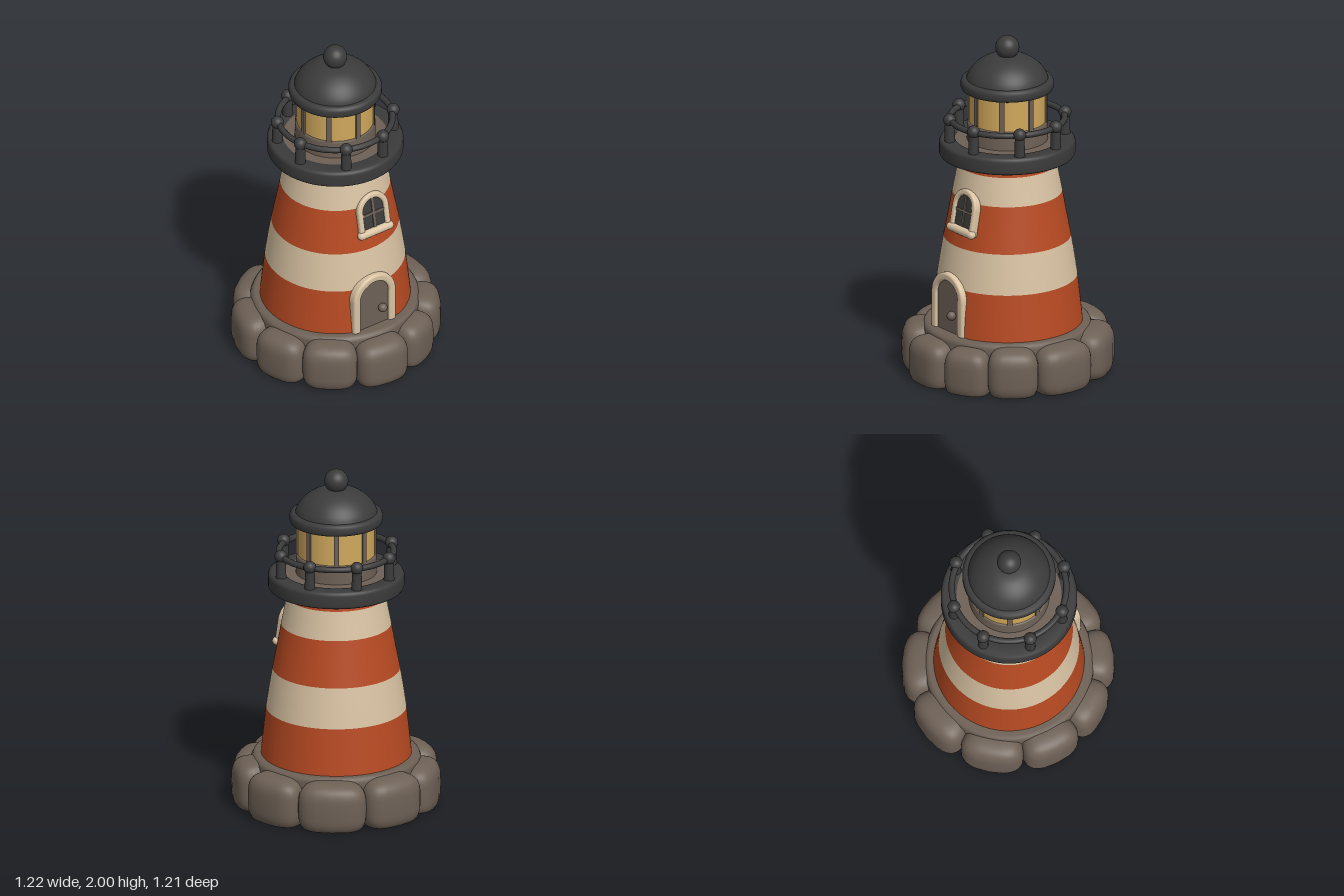
import * as THREE from 'three';

const flat = (name, color) => Object.assign(new THREE.MeshStandardMaterial({ color }), { name });

export function createModel() {
  const red = flat('brick red', 0xb84a22);
  const cream = flat('cream', 0xd9c3a3);
  const stone = flat('stone', 0x6e6156);
  const iron = flat('dark iron', 0x3b3b3b);
  const glow = flat('lamp glass', 0xd0a85c);

  const model = new THREE.Group();
  model.name = 'lighthouse';

  const add = (parent, name, geometry, material, x = 0, y = 0, z = 0) => {
    const mesh = new THREE.Mesh(geometry, material);
    mesh.name = name;
    mesh.position.set(x, y, z);
    parent.add(mesh);
    return mesh;
  };
  const lathe = (pairs, segments = 96) =>
    new THREE.LatheGeometry(pairs.map(([r, y]) => new THREE.Vector2(r, y)), segments);

  // Rounded boulder: a squared-off sphere bent around the tower axis
  const boulder = (angle, halfAngle, outer, top) => {
    const geo = new THREE.SphereGeometry(1, 32, 24);
    const p = geo.attributes.position;
    const soft = (v) => Math.sign(v) * Math.abs(v) ** 0.55;
    for (let i = 0; i < p.count; i++) {
      const r = outer - 0.17 + 0.17 * soft(p.getX(i));
      const y = Math.max(0, top - 0.155 + 0.155 * soft(p.getY(i)));
      const a = angle + halfAngle * soft(p.getZ(i));
      p.setXYZ(i, r * Math.cos(a), y, r * Math.sin(a));
    }
    geo.computeVertexNormals();
    return geo;
  };

  // Rock base: boulder edges in degrees, going round from the back
  const base = new THREE.Group();
  base.name = 'rockBase';
  model.add(base);
  const edges = [-111, -72, -41, -12, 22, 56, 90, 127, 167, 207, 249];
  const outers = [0.612, 0.605, 0.6, 0.612, 0.605, 0.6, 0.605, 0.6, 0.612, 0.615];
  const tops = [0.275, 0.28, 0.265, 0.265, 0.28, 0.27, 0.275, 0.265, 0.28, 0.28];
  outers.forEach((outer, i) => {
    const mid = THREE.MathUtils.degToRad((edges[i] + edges[i + 1]) / 2);
    const half = THREE.MathUtils.degToRad((edges[i + 1] - edges[i]) / 2 + 0.9);
    add(base, 'boulder', boulder(mid, half, outer, tops[i]), stone);
  });
  add(base, 'rockCore', lathe([[0, 0], [0.48, 0], [0.485, 0.1], [0.485, 0.26], [0.475, 0.28],
    [0.455, 0.29], [0, 0.29]]), stone);

  // Striped tower, flattened on the door side
  const bands = [
    [red, [[0.433, 0.27], [0.425, 0.35], [0.413, 0.46], [0.402, 0.565]]],
    [cream, [[0.402, 0.565], [0.385, 0.68], [0.365, 0.8]]],
    [red, [[0.365, 0.8], [0.34, 0.93], [0.315, 1.07]]],
    [cream, [[0.315, 1.07], [0.299, 1.155], [0.284, 1.237]]],
    [red, [[0.284, 1.237], [0.28, 1.26], [0.285, 1.3]]],
  ];
  for (const [material, profile] of bands) {
    const geo = lathe(profile, 128);
    const p = geo.attributes.position;
    for (let i = 0; i < p.count; i++) p.setX(i, Math.min(p.getX(i), 0.402));
    add(model, 'towerBand', geo, material);
  }

  // Arched openings
  const archPath = (path, w, bottom, spring) => {
    path.moveTo(-w, bottom);
    path.lineTo(w, bottom);
    path.lineTo(w, spring);
    path.absarc(0, spring, w, 0, Math.PI, false);
    path.lineTo(-w, bottom);
    return path;
  };
  const archFrame = (outer, inner, bottom, spring, depth, bevel) => {
    const shape = archPath(new THREE.Shape(), outer - bevel, bottom, spring);
    shape.holes.push(archPath(new THREE.Path(), inner + bevel, bottom - 0.001 + bevel, spring));
    return new THREE.ExtrudeGeometry(shape, {
      depth, bevelSize: bevel, bevelThickness: bevel, bevelSegments: 4, curveSegments: 24,
    });
  };
  const archPanel = (w, bottom, spring) =>
    new THREE.ShapeGeometry(archPath(new THREE.Shape(), w, bottom, spring), 24);

  // Door
  const door = new THREE.Group();
  door.name = 'door';
  door.position.set(0.402, 0, 0.02);
  door.rotation.y = Math.PI / 2;
  model.add(door);
  add(door, 'doorFrame', archFrame(0.147, 0.1, 0.262, 0.495, 0.035, 0.014), cream, 0, 0, -0.028);
  add(door, 'doorPanel', archPanel(0.112, 0.27, 0.495), stone, 0, 0, 0.005);
  add(door, 'doorKnob', new THREE.SphereGeometry(0.027, 20, 14), stone, 0.05, 0.4, 0.022);

  // Window, leaning back with the wall
  const win = new THREE.Group();
  win.name = 'window';
  win.position.set(0.346, 0.9, -0.03);
  win.rotation.set(-0.181, Math.PI / 2, 0, 'YXZ');
  model.add(win);
  add(win, 'windowFrame', archFrame(0.107, 0.072, 0, 0.138, 0.025, 0.012), cream, 0, 0, -0.018);
  add(win, 'windowPane', archPanel(0.082, 0.005, 0.138), iron, 0, 0, 0.004);
  add(win, 'verticalBar', new THREE.BoxGeometry(0.014, 0.2, 0.008), stone, 0, 0.11, 0.006);
  add(win, 'crossBar', new THREE.BoxGeometry(0.15, 0.014, 0.008), stone, 0, 0.115, 0.006);
  const sill = add(win, 'windowSill', new THREE.CapsuleGeometry(0.025, 0.195, 8, 16), cream, 0, 0, 0.008);
  sill.rotation.z = Math.PI / 2;

  // Gallery platform
  add(model, 'gallery', lathe([[0.2, 1.285], [0.372, 1.285], [0.383, 1.29], [0.39, 1.302],
    [0.39, 1.365], [0.383, 1.379], [0.372, 1.386], [0.3, 1.386], [0.3, 1.37]]), iron);
  const floor = add(model, 'galleryFloor', new THREE.CircleGeometry(0.31, 64), stone, 0, 1.382, 0);
  floor.rotation.x = -Math.PI / 2;

  // Railing
  const railing = new THREE.Group();
  railing.name = 'railing';
  model.add(railing);
  const rail = add(railing, 'rail', new THREE.TorusGeometry(0.328, 0.018, 12, 80), iron, 0, 1.507, 0);
  rail.rotation.x = Math.PI / 2;
  for (let i = 0; i < 8; i++) {
    const a = THREE.MathUtils.degToRad(-20 + i * 45 + (i % 2 ? 0 : 2));
    const x = 0.337 * Math.cos(a), z = 0.337 * Math.sin(a);
    add(railing, 'railPost', new THREE.CylinderGeometry(0.027, 0.031, 0.14, 20), iron, x, 1.445, z);
    add(railing, 'postKnob', new THREE.SphereGeometry(0.037, 20, 14), iron, x, 1.514, z);
  }

  // Lantern room
  add(model, 'lanternWall', lathe([[0.232, 1.375], [0.23, 1.48], [0.226, 1.492], [0.2, 1.495]]), stone);
  add(model, 'lanternGlass', new THREE.CylinderGeometry(0.221, 0.221, 0.22, 64, 1, true), glow, 0, 1.59, 0);
  for (let i = 0; i < 8; i++) {
    const a = (i * Math.PI) / 4;
    const bar = add(model, 'lanternBar', new THREE.BoxGeometry(0.03, 0.21, 0.02), stone,
      0.219 * Math.sin(a), 1.59, 0.219 * Math.cos(a));
    bar.rotation.y = a;
  }

  // Domed roof
  add(model, 'roofRim', lathe([[0, 1.68], [0.245, 1.68], [0.26, 1.686], [0.267, 1.7], [0.267, 1.727],
    [0.26, 1.741], [0.245, 1.748], [0.2, 1.75]]), iron);
  const dome = new THREE.SplineCurve([[0.237, 1.74], [0.222, 1.778], [0.19, 1.82], [0.145, 1.855],
    [0.09, 1.879], [0.001, 1.89]].map(([r, y]) => new THREE.Vector2(r, y)));
  add(model, 'roofDome', new THREE.LatheGeometry(dome.getPoints(24), 64), iron);
  add(model, 'roofBall', new THREE.SphereGeometry(0.069, 32, 20), iron, 0, 1.931, 0);

  return model;
}
